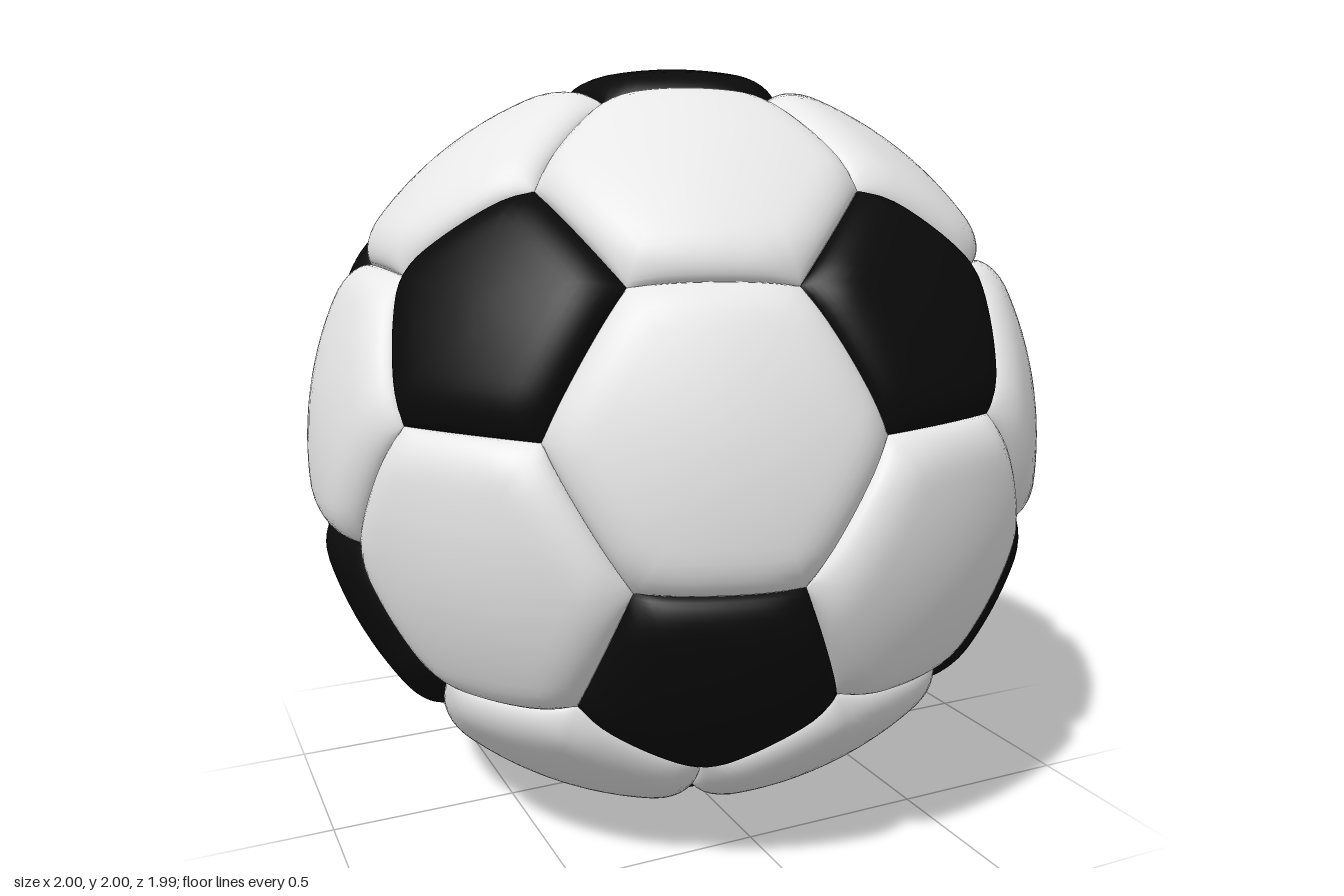
import * as THREE from 'three';

const SEAM = 0.945;   // radius at the bottom of the seams
const ROLL = 0.11;    // width of the rounded panel rim
const RINGS = 14, SIDE = 12;

// Sort corner directions counter-clockwise around an outward axis
function sortAround(axis, corners) {
  const u = corners[0].clone().projectOnPlane(axis).normalize();
  const v = axis.clone().cross(u);
  const angle = (p) => Math.atan2(p.dot(v), p.dot(u));
  return corners.sort((a, b) => angle(a) - angle(b));
}

// One puffed panel: concentric rings from its centre out to the seam
function panelGeometry(axis, corners) {
  const n = corners.length, around = n * SIDE;
  const seams = corners.map((c, i) => c.clone().cross(corners[(i + 1) % n]).normalize());
  const pos = [], index = [];
  const add = (p) => {
    const d = p.clone().normalize();
    let puff = 1;
    for (const s of seams) {
      const t = THREE.MathUtils.clamp(Math.asin(d.dot(s)) / ROLL, 0, 1);
      puff *= Math.sqrt(1 - (1 - t) ** 2);
    }
    d.multiplyScalar(SEAM + (1 - SEAM) * puff);
    pos.push(d.x, d.y, d.z);
  };
  const centre = corners.reduce((s, c) => s.add(c), new THREE.Vector3()).divideScalar(n);
  add(centre);
  for (let r = 1; r <= RINGS; r++) {
    const k = 1 - (1 - r / RINGS) ** 1.8; // rings crowd together at the rim
    for (let j = 0; j < around; j++) {
      const i = Math.floor(j / SIDE);
      const edge = corners[i].clone().lerp(corners[(i + 1) % n], (j % SIDE) / SIDE);
      add(centre.clone().lerp(edge, k));
    }
  }
  for (let j = 0; j < around; j++) {
    const j2 = (j + 1) % around;
    index.push(0, 1 + j, 1 + j2);
    for (let r = 1; r < RINGS; r++) {
      const a = 1 + (r - 1) * around, b = a + around;
      index.push(a + j, b + j, b + j2, a + j, b + j2, a + j2);
    }
  }
  const geo = new THREE.BufferGeometry();
  geo.setAttribute('position', new THREE.Float32BufferAttribute(pos, 3));
  geo.setIndex(index);
  geo.computeVertexNormals();
  return geo;
}

export function createModel() {
  const white = new THREE.MeshStandardMaterial({ color: 0xe7e7e7 });
  white.name = 'white leather';
  const black = new THREE.MeshStandardMaterial({ color: 0x0a0a0a });
  black.name = 'black leather';

  const ball = new THREE.Group();
  ball.name = 'ball';
  ball.position.y = 1;

  // Icosahedron vertices: two poles and two staggered rings of five
  const ico = [new THREE.Vector3(0, 1, 0), new THREE.Vector3(0, -1, 0)];
  const h = 1 / Math.sqrt(5);
  for (let i = 0; i < 10; i++) {
    const a = (i * Math.PI) / 5;
    ico.push(new THREE.Vector3(2 * h * Math.cos(a), i % 2 ? -h : h, 2 * h * Math.sin(a)));
  }
  const adjacent = (a, b) => a !== b && a.dot(b) > 0.4;
  const corner = (a, b) => a.clone().multiplyScalar(2).add(b).normalize();

  const addPanel = (name, axis, corners, material) => {
    const mesh = new THREE.Mesh(panelGeometry(axis, sortAround(axis, corners)), material);
    mesh.name = name;
    ball.add(mesh);
  };

  // Black pentagons on the vertices
  for (const a of ico) {
    const corners = ico.filter((b) => adjacent(a, b)).map((b) => corner(a, b));
    addPanel('pentagonPanel', a, corners, black);
  }

  // White hexagons on the faces
  for (let i = 0; i < 12; i++) for (let j = i + 1; j < 12; j++) for (let k = j + 1; k < 12; k++) {
    const [a, b, c] = [ico[i], ico[j], ico[k]];
    if (!adjacent(a, b) || !adjacent(b, c) || !adjacent(a, c)) continue;
    const axis = a.clone().add(b).add(c).normalize();
    const corners = [[a, b], [b, a], [b, c], [c, b], [c, a], [a, c]].map(([p, q]) => corner(p, q));
    addPanel('hexagonPanel', axis, corners, white);
  }

  const model = new THREE.Group();
  model.name = 'soccerBall';
  model.add(ball);
  return model;
}
